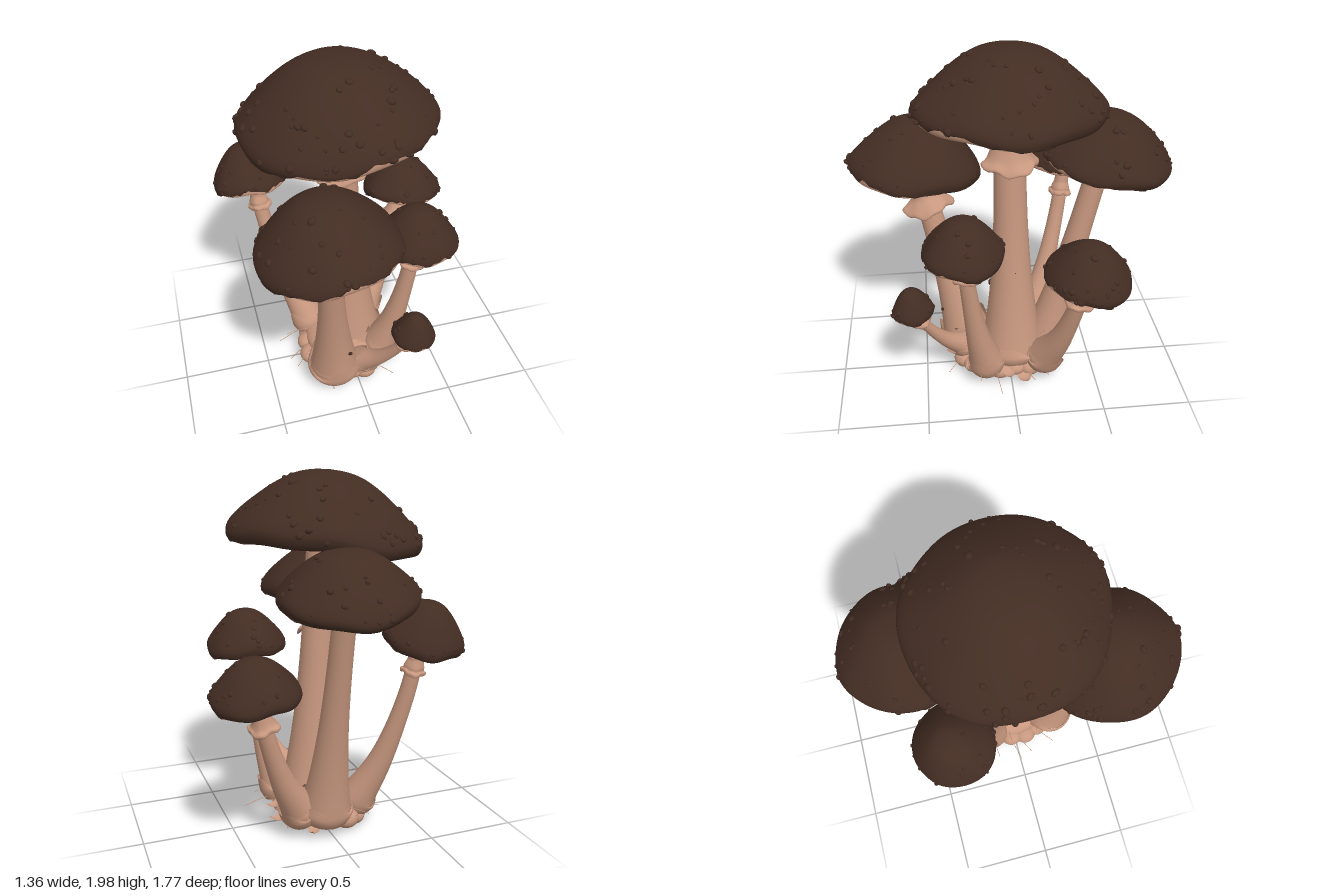
import * as THREE from 'three';
import { mergeVertices, mergeGeometries } from 'three/addons/utils/BufferGeometryUtils.js';

const skin = new THREE.MeshStandardMaterial({ color: 0x432d23, side: THREE.DoubleSide });
skin.name = 'dark brown cap skin';
const flesh = new THREE.MeshStandardMaterial({ color: 0xc8987f, side: THREE.DoubleSide });
flesh.name = 'pale pinkish flesh';

let seed = 7;
const rnd = () => (seed = (seed * 16807) % 2147483647) / 2147483647;
const range = (a, b) => a + (b - a) * rnd();
const V = (x, y, z) => new THREE.Vector3(x, y, z);
const UP = V(0, 1, 0);

// Revolve a spline profile, bend it by a rule, weld it smooth
function revolve(profile, sides, steps, rule) {
  const curve = new THREE.SplineCurve(profile.map(([x, y]) => new THREE.Vector2(x, y)));
  const pts = curve.getPoints(steps);
  pts.forEach(p => { p.x = Math.max(0, p.x); });
  return weld(bend(new THREE.LatheGeometry(pts, sides), rule));
}

function bend(geo, rule) {
  const pos = geo.attributes.position, v = V();
  for (let i = 0; i < pos.count; i++) {
    v.fromBufferAttribute(pos, i);
    rule(v, i);
    pos.setXYZ(i, v.x, v.y, v.z);
  }
  return geo;
}

function weld(geo) {
  geo.deleteAttribute('uv');
  geo.deleteAttribute('normal');
  const out = mergeVertices(geo, 1e-5);
  out.computeVertexNormals();
  return out;
}

function add(parent, geo, mat, name) {
  const m = new THREE.Mesh(geo, mat);
  m.name = name;
  parent.add(m);
  return m;
}

// Flattened lump sitting on a surface
function lump(at, normal, s) {
  const g = new THREE.SphereGeometry(1, 8, 6);
  g.scale(s * range(0.7, 1.3), s * range(0.5, 0.8), s);
  g.rotateY(range(0, 6.28));
  g.applyQuaternion(new THREE.Quaternion().setFromUnitVectors(UP, normal));
  return g.translate(at.x, at.y, at.z);
}

function makeCap(centre, R, H, tilt, k) {
  const cap = new THREE.Group();
  cap.name = 'cap';
  cap.position.copy(centre);
  cap.rotation.set(tilt[0], 0, tilt[1]);
  const wobble = v => {
    const a = Math.atan2(v.x, v.z), f = Math.hypot(v.x, v.z) / R;
    const s = 1 + f * f * (0.018 * Math.sin(2 * a + k) + 0.012 * Math.sin(5 * a + 2 * k));
    v.x *= s; v.z *= s;
    v.y += H * 0.045 * f ** 4 * (Math.sin(3 * a + k) + 0.5 * Math.sin(7 * a + k));
  };
  // skin is pulled back raggedly from the front of the rim
  const edge = a => -0.05 + Math.max(0, 0.3 + Math.cos(a - 0.25)) *
    (0.11 + 0.02 * Math.sin(9 * a + k) + 0.018 * Math.sin(19 * a) + 0.012 * Math.sin(27 * a + k));
  const sized = list => list.map(([x, y]) => [x * R, y * H]);
  const top = revolve(sized([[0.87, 0.03], [0.91, -0.03], [0.965, -0.02], [1, 0.08], [0.985, 0.19], [0.91, 0.33],
    [0.76, 0.53], [0.56, 0.75], [0.36, 0.91], [0.18, 0.98], [0, 1]]), 72, 36, v => {
    const a = Math.atan2(v.x, v.z), r = Math.hypot(v.x, v.z), e = edge(a) * H;
    if (v.y < e && r > 0.5 * R) {
      const s = Math.max(r, 0.985 * R) / r;
      v.set(v.x * s, e, v.z * s);
    }
    wobble(v);
  });
  add(cap, top, skin, 'capSkin');
  const under = revolve(sized([[0, 0.22], [0.3, 0.22], [0.6, 0.18], [0.8, 0.09], [0.91, 0], [0.955, 0.01],
    [0.975, 0.09], [0.965, 0.2], [0.9, 0.3]]), 72, 24, wobble);
  add(cap, under, flesh, 'gillsAndLip');

  // warts scattered over the skin, more for larger caps
  const warts = [], pos = top.attributes.position, nor = top.attributes.normal;
  while (warts.length < 10 + 240 * R * R) {
    const i = Math.floor(rnd() * pos.count);
    const p = V().fromBufferAttribute(pos, i), n = V().fromBufferAttribute(nor, i);
    const f = Math.hypot(p.x, p.z) / R;
    if (f < 0.3 || p.y < 0.1 * H || rnd() > f || n.length() < 0.5) continue;
    warts.push(lump(p, n.normalize(), range(0.009, 0.022) * (0.6 + 0.8 * R)));
  }
  add(cap, mergeGeometries(warts), skin, 'warts');
  return cap;
}

function makeStem(foot, head, R, ring, k) {
  const stem = new THREE.Group();
  stem.name = 'stem';
  // small stems lean out early, then straighten up
  const lean = R > 0.3 ? 0 : 0.14;
  const along = (up, out) => V(THREE.MathUtils.lerp(foot.x, head.x, out),
    THREE.MathUtils.lerp(foot.y, head.y, up), THREE.MathUtils.lerp(foot.z, head.z, out));
  const curve = new THREE.CatmullRomCurve3([foot, along(0.25, 0.25 + lean), along(0.65, 0.65 + lean), head]);
  const rb = 0.04 + 0.28 * R, rt = 0.007 + 0.15 * R, N = 32, S = 20;
  const radius = t => rt + (rb - rt) * (1 - t) ** 3 + 0.012 * (1 - t) * t;
  const tube = bend(new THREE.TubeGeometry(curve, N, 1, S), (v, i) => {
    const t = Math.floor(i / (S + 1)) / N, c = curve.getPointAt(t);
    v.sub(c).multiplyScalar(radius(t)).add(c);
  });
  add(stem, weld(tube), flesh, 'stalk');
  const bulb = add(stem, new THREE.SphereGeometry(rb, 20, 12), flesh, 'bulb');
  bulb.position.copy(foot);
  bulb.scale.y = Math.min(1, 0.1 / rb);

  // torn sheath hugging the foot
  const sheath = add(stem, revolve([[rb * 0.95, -0.06], [rb * 1.1, -0.01], [rb * 1.06, 0.04], [rb * 1.02, 0.075]], 36, 6, v => {
    const a = Math.atan2(v.x, v.z);
    if (v.y > 0) v.y *= 0.6 + 0.5 * Math.sin(2 * a + k) + 0.25 * Math.sin(5 * a + 2 * k);
  }), flesh, 'tornSheath');
  sheath.position.copy(foot);
  sheath.quaternion.setFromUnitVectors(UP, curve.getTangentAt(0));

  // hanging skirt ring
  if (ring) {
    const [y, r] = ring, h = 1.3 * r;
    let t = 0;
    while (t < 1 && curve.getPointAt(t).y < y) t += 0.005;
    const rs = radius(t);
    const skirt = add(stem, revolve([[rs * 0.95, 0.01], [r * 0.75, 0.005], [r * 0.97, -0.006], [r, 0.012], [r * 0.82, h * 0.22],
      [rs * 1.25, h * 0.42], [rs * 1.07, h * 0.7], [rs * 0.9, h]], 40, 21, v => {
      const a = Math.atan2(v.x, v.z), f = Math.hypot(v.x, v.z) / r;
      const s = 1 + 0.06 * f ** 3 * Math.sin(4 * a + k);
      v.x *= s; v.z *= s;
      v.y += r * f ** 4 * (0.09 * Math.sin(3 * a + k) + 0.05 * Math.sin(8 * a));
    }), flesh, 'skirtRing');
    skirt.position.copy(curve.getPointAt(t));
    skirt.quaternion.setFromUnitVectors(UP, curve.getTangentAt(t));
  }
  return stem;
}

function makeMushroom(k, name, foot, centre, R, H, tilt, ring) {
  const g = new THREE.Group();
  g.name = name + 'Mushroom';
  const head = V(centre.x, centre.y + 0.24 * H, centre.z);
  g.add(makeStem(foot, head, R, ring, k), makeCap(centre, R, H, tilt, k));
  return g;
}

function makeBase() {
  const base = new THREE.Group();
  base.name = 'base';
  const core = add(base, new THREE.SphereGeometry(1, 24, 16), flesh, 'core');
  core.scale.set(0.23, 0.1, 0.27);
  core.position.set(-0.02, 0.14, 0);
  // knobs around the foot
  const knobs = [];
  for (let i = 0; i < 18; i++) {
    const a = i / 18 * Math.PI * 2;
    const g = new THREE.SphereGeometry(range(0.048, 0.068), 16, 10);
    g.scale(1.1, 0.9, 1.1);
    knobs.push(g.translate(-0.03 + 0.21 * Math.sin(a), range(0.075, 0.11), 0.02 + 0.26 * Math.cos(a)));
  }
  add(base, mergeGeometries(knobs), flesh, 'knobs');
  // curled shreds
  for (let i = 0; i < 9; i++) {
    const a = 0.2 + i * 0.42, len = range(0.09, 0.15), w = range(0.03, 0.05);
    const g = bend(new THREE.PlaneGeometry(1, 1, 6, 8), v => {
      const t = v.y + 0.5, x = v.x * w * 2 * Math.sin(Math.PI * (0.2 + 0.8 * t));
      v.set(x, -0.07 * Math.sin(t * 2.6) + 8 * x * x, t * len);
    });
    const shred = add(base, weld(g), flesh, 'shred');
    shred.position.set(0.17 * Math.sin(a), range(0.13, 0.19), 0.22 * Math.cos(a));
    shred.rotation.y = a + range(-0.4, 0.4);
  }
  // fine root threads
  for (let i = 0; i < 16; i++) {
    const a = i * 2.4, d = range(0.32, 0.43), y = range(0.06, 0.2), s = Math.sin(a), c = Math.cos(a);
    const curve = new THREE.CatmullRomCurve3([V(0.15 * s, 0.14, 0.2 * c),
      V(0.27 * s, y + 0.03, 0.3 * c), V(d * Math.sin(a + 0.12), y, d * Math.cos(a + 0.12))]);
    add(base, new THREE.TubeGeometry(curve, 12, 0.0018, 5), flesh, 'rootThread');
  }
  return base;
}

export function createModel() {
  const model = new THREE.Group();
  model.name = 'mushroomCluster';
  // name, foot, rim centre, cap radius and height, tilt about x and z, ring height and radius
  model.add(
    makeMushroom(0, 'main', V(0.03, 0.18, -0.02), V(-0.04, 1.62, -0.01), 0.515, 0.38, [-0.02, 0.09], [1.35, 0.155]),
    makeMushroom(1, 'frontLeft', V(-0.14, 0.18, 0.25), V(-0.22, 1.23, 0.5), 0.365, 0.33, [-0.08, 0.1], [1.02, 0.14]),
    makeMushroom(2, 'back', V(0.02, 0.18, -0.22), V(0.03, 1.39, -0.515), 0.355, 0.26, [-0.16, -0.07]),
    makeMushroom(3, 'backLeft', V(-0.2, 0.18, -0.16), V(-0.45, 1.11, -0.39), 0.22, 0.24, [-0.18, 0.12], [0.95, 0.066]),
    makeMushroom(4, 'backRight', V(0.17, 0.18, -0.2), V(0.45, 0.9, -0.365), 0.23, 0.22, [-0.1, -0.1], [0.73, 0.082]),
    makeMushroom(5, 'frontRight', V(0.18, 0.18, 0.15), V(0.32, 1, 0.27), 0.22, 0.23, [-0.02, -0.06], [0.86, 0.08]),
    makeMushroom(6, 'smallest', V(0.02, 0.18, 0.28), V(0.225, 0.59, 0.55), 0.117, 0.16, [0.08, -0.05], [0.51, 0.06]),
    makeBase());
  // dark crumbs stuck to the stalks
  const crumb = (x, y, z, s) => lump(V(x, y, z), V(x, 0, z).normalize(), s);
  add(model, mergeGeometries([crumb(-0.02, 0.59, 0.1, 0.022), crumb(-0.08, 0.37, 0.39, 0.013),
    crumb(0.11, 0.73, -0.03, 0.01)]), skin, 'crumbs');
  return model;
}
